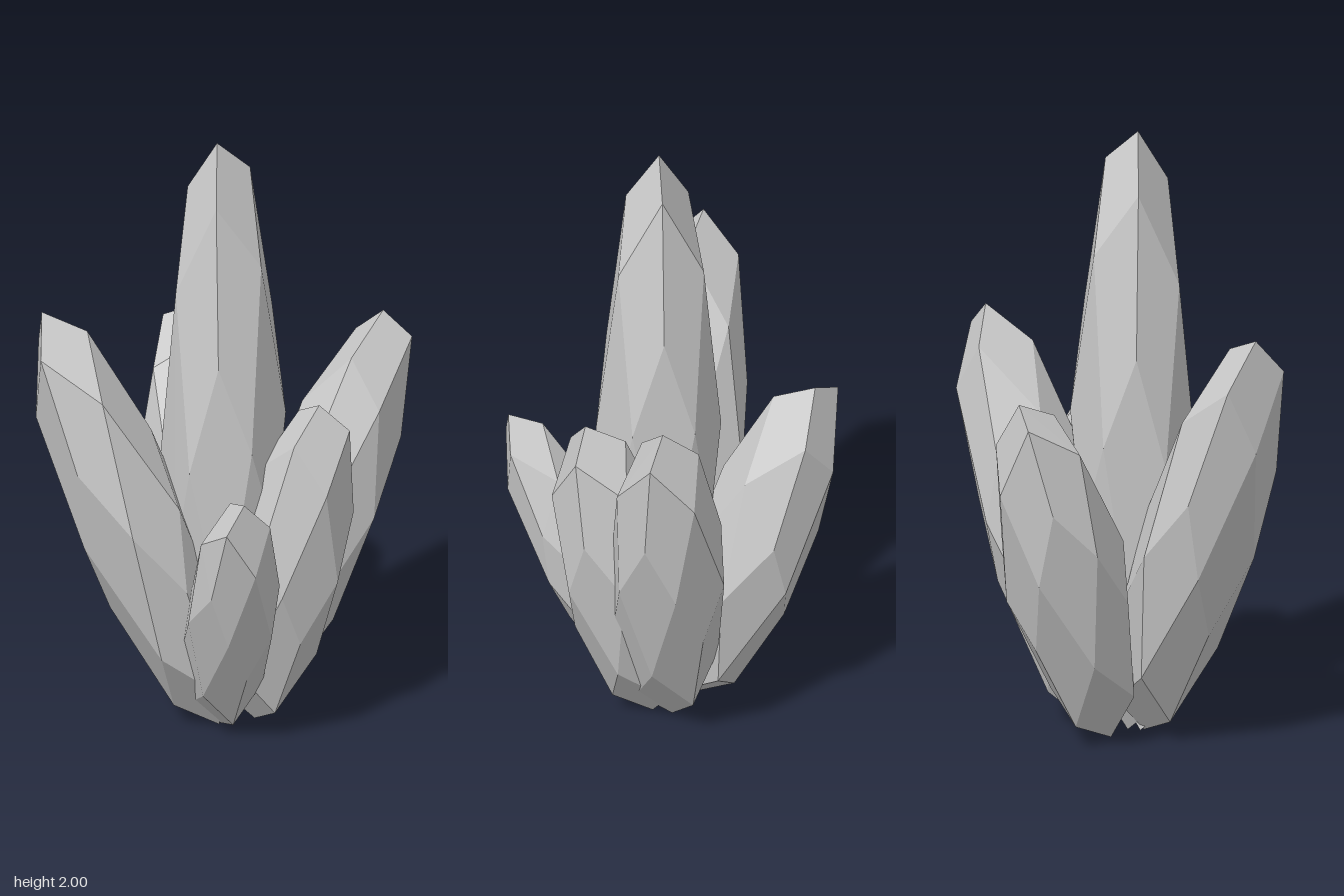
import * as THREE from 'three';
import { ConvexGeometry } from 'three/addons/geometries/ConvexGeometry.js';

// foot [x, z] and top [x, y, z] set the long axis, radius is the belly's [x, z],
// turn spins the facets (degrees), tilt [x, z] tips the point off the axis
const CRYSTALS = {
  centreCrystal: { foot: [-0.005, 0.045], top: [-0.015, 2, 0.038], radius: [0.19, 0.19], turn: 0, tilt: [-0.08, 0] },
  rightCrystal: { foot: [-0.05, 0.05], top: [-0.535, 1.45, -0.135], radius: [0.19, 0.215], turn: 25, tilt: [-0.08, -0.08] },
  leftCrystal: { foot: [0.1, 0.01], top: [0.54, 1.32, 0.08], radius: [0.2, 0.185], turn: 28, tilt: [-0.04, 0] },
  backCrystal: { foot: [0.05, -0.06], top: [0.1, 1.22, -0.44], radius: [0.2, 0.195], turn: -5, tilt: [0.2, 0] },
  frontLeftCrystal: { foot: [0.08, 0.08], top: [0.205, 1.15, 0.28], radius: [0.185, 0.19], turn: 30, tilt: [-0.03, 0.06] },
  frontRightCrystal: { foot: [-0.03, 0.07], top: [-0.17, 0.97, 0.48], radius: [0.147, 0.15], turn: 30, tilt: [0, 0.13] },
};

// Corners, edge middles and face middles of a rounded cube standing on one corner
function facetDirections() {
  const up = new THREE.Vector3(1, 1, 1).normalize();
  const side = new THREE.Vector3(1, 1, -2).normalize();
  const front = new THREE.Vector3().crossVectors(side, up);
  const directions = [];
  for (let i = -1; i <= 1; i++) for (let j = -1; j <= 1; j++) for (let k = -1; k <= 1; k++) {
    const p = new THREE.Vector3(i, j, k);
    const kind = p.lengthSq();
    if (kind === 0) continue;
    // Edge middles stand out a little so that every four-sided facet is flat
    p.setLength(kind === 2 ? 1.035 : 1);
    directions.push(new THREE.Vector3(p.dot(side), p.dot(up), p.dot(front)));
  }
  return directions;
}

// Stretch the faceted ball along the crystal's leaning axis
function crystalGeometry(directions, { foot, top, radius, turn, tilt }) {
  const [topX, height, topZ] = top;
  const up = new THREE.Vector3(0, 1, 0);
  const spin = new THREE.Quaternion().setFromAxisAngle(up, -THREE.MathUtils.degToRad(turn));
  const point = new THREE.Vector3(tilt[0], 1, tilt[1]).normalize();
  const turnAndTilt = new THREE.Quaternion().setFromUnitVectors(up, point).multiply(spin);
  const points = directions.map((direction) => {
    const d = direction.clone().applyQuaternion(turnAndTilt);
    const t = (1 + d.y) / 2;
    return new THREE.Vector3(
      THREE.MathUtils.lerp(foot[0], topX, t) + d.x * radius[0],
      height * t,
      THREE.MathUtils.lerp(foot[1], topZ, t) + d.z * radius[1],
    );
  });
  return new ConvexGeometry(points);
}

export function createModel() {
  const group = new THREE.Group();
  group.name = 'crystalCluster';
  const material = new THREE.MeshStandardMaterial({ color: 0xcccccc, flatShading: true });
  const directions = facetDirections();
  for (const [name, crystal] of Object.entries(CRYSTALS)) {
    const mesh = new THREE.Mesh(crystalGeometry(directions, crystal), material);
    mesh.name = name;
    group.add(mesh);
  }
  return group;
}
